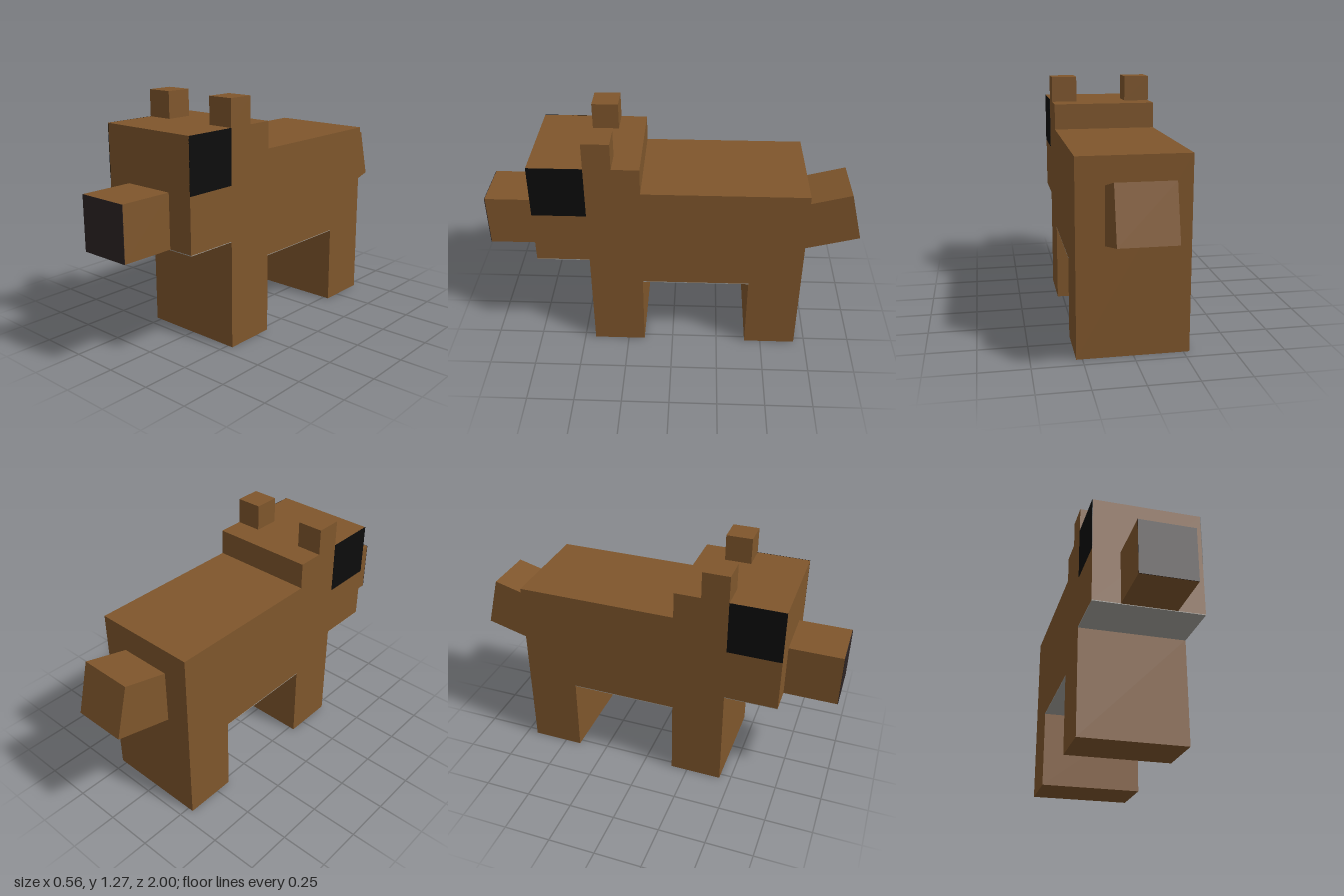
import * as THREE from 'three';

const mat = (name, color) => Object.assign(new THREE.MeshStandardMaterial({ color }), { name });

export function createModel() {
  const brown = mat('brown fur', 0x7f562c);
  const grey = mat('grey underside', 0xa6a39d);
  const black = mat('black patch', 0x0c0c0c);
  const dark = mat('dark nose', 0x2c2323);

  const model = new THREE.Group();
  model.name = 'blockyDog';

  const add = (name, geometry, material) => {
    const mesh = new THREE.Mesh(geometry, material);
    mesh.name = name;
    model.add(mesh);
    return mesh;
  };

  // Box given by its extents along each axis
  const box = (name, material, [x0, x1], [y0, y1], [z0, z1]) => {
    const mesh = add(name, new THREE.BoxGeometry(x1 - x0, y1 - y0, z1 - z0), material);
    mesh.position.set((x0 + x1) / 2, (y0 + y1) / 2, (z0 + z1) / 2);
    return mesh;
  };

  // Torso, head and legs: one side profile (z, y) across the full width
  const profile = [
    [-0.69, 0], [-0.41, 0], [-0.41, 0.425], [0.16, 0.425], [0.16, 0], [0.44, 0],
    [0.44, 0.567], [0.72, 0.567], [0.72, 1.13], [0.16, 1.13], [0.16, 0.99], [-0.69, 0.99],
  ].map(([z, y]) => new THREE.Vector2(z, y));
  const body = new THREE.ExtrudeGeometry(new THREE.Shape(profile), { depth: 0.56, bevelEnabled: false });
  body.translate(0, 0, -0.28).rotateY(-Math.PI / 2);
  add('bodyHeadAndLegs', body, brown);

  // Snout with a dark nose plate over its front
  box('snout', brown, [-0.14, 0.14], [0.567, 0.847], [0.72, 0.998]);
  box('nose', dark, [-0.14, 0.14], [0.567, 0.847], [0.997, 1]);

  // Ears and black eye patches, mirrored
  for (const [side, s] of [['left', 1], ['right', -1]]) {
    const span = (a, b) => (s > 0 ? [a, b] : [-b, -a]);
    box(side + 'Ear', brown, span(0.14, 0.28), [1.13, 1.27], [0.3, 0.44]);
    box(side + 'EyePatch', black, span(0.279, 0.282), [0.85, 1.13], [0.44, 0.72]);
  }

  // Grey plates under the belly and the head
  box('bellyUnderside', grey, [-0.28, 0.28], [0.422, 0.426], [-0.41, 0.16]);
  box('headUnderside', grey, [-0.28, 0.28], [0.564, 0.568], [0.44, 0.72]);

  // Tail, tilted upward and sunk into the rump
  const tail = add('tail', new THREE.BoxGeometry(0.28, 0.28, 0.4), brown);
  tail.position.set(0, 0.728, -0.771);
  tail.rotation.x = Math.PI / 12;

  return model;
}
